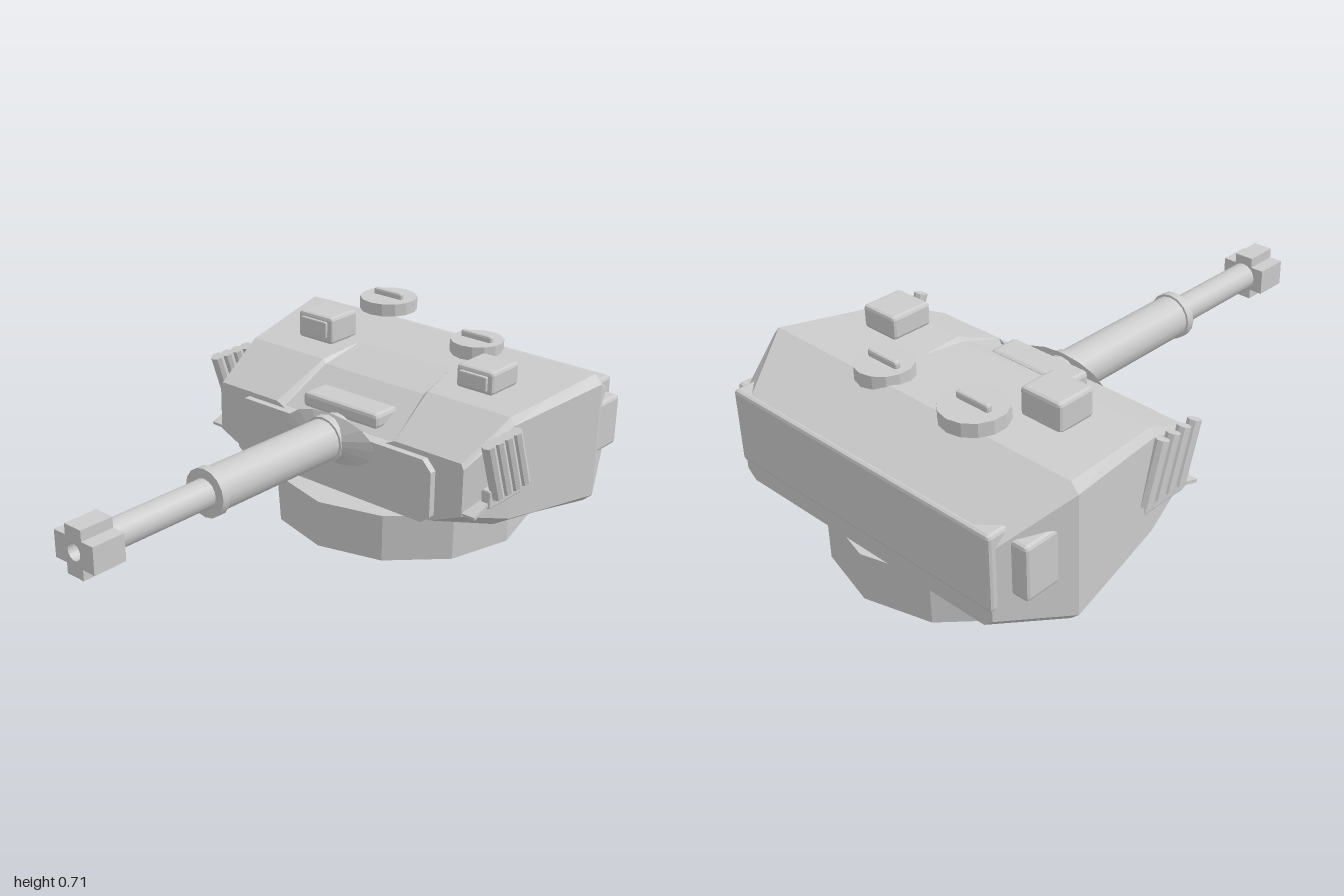
import * as THREE from 'three';
import { RoundedBoxGeometry } from 'three/addons/geometries/RoundedBoxGeometry.js';

const flat = new THREE.MeshStandardMaterial({ color: 0xcccccc, flatShading: true });
const smooth = new THREE.MeshStandardMaterial({ color: 0xcccccc });

function add(parent, name, geometry, x = 0, y = 0, z = 0, material = flat) {
  const mesh = new THREE.Mesh(geometry, material);
  mesh.name = name;
  mesh.position.set(x, y, z);
  parent.add(mesh);
  return mesh;
}

// Box with bevelled edges, given by its min and max corners
function block(parent, name, [x0, y0, z0], [x1, y1, z1], bevel = 0.012) {
  const g = new RoundedBoxGeometry(x1 - x0, y1 - y0, z1 - z0, 1, bevel);
  return add(parent, name, g, (x0 + x1) / 2, (y0 + y1) / 2, (z0 + z1) / 2);
}

// Cylinder lying along z
function tube(parent, name, r, z0, z1, y, sides = 16) {
  const g = new THREE.CylinderGeometry(r, r, z1 - z0, sides).rotateX(Math.PI / 2);
  return add(parent, name, g, 0, y, (z0 + z1) / 2, smooth);
}

// Symmetric shape from the points of its +x half, bottom to top
function mirroredShape(half) {
  const other = half.map(([x, y]) => [-x, y]).reverse();
  return new THREE.Shape([...half, ...other].map(([x, y]) => new THREE.Vector2(x, y)));
}

// Turret shell lofted front to back through mirrored cross-sections
function shellGeometry() {
  // z, bottom half-width, bottom y, side half-width, side low y, side high y,
  // roof half-width, roof y, inner edge of cheek, depth of centre recess
  const sections = [
    [-0.14, 0.42, 0.21, 0.545, 0.265, 0.43, 0.535, 0.45, 0.265, 0.03],
    [-0.35, 0.53, 0.155, 0.59, 0.195, 0.53, 0.572, 0.556, 0.235, 0.014],
    [-0.53, 0.57, 0.145, 0.622, 0.178, 0.55, 0.6, 0.578, 0.215, 0],
    [-0.757, 0.63, 0.13, 0.663, 0.16, 0.575, 0.635, 0.607, 0.215, 0],
    [-0.99, 0.52, 0.19, 0.555, 0.22, 0.46, 0.485, 0.512, 0.215, 0],
  ];
  const rings = sections.map(([z, bw, by, w, lo, hi, tw, ty, inner, d]) => {
    const half = [[bw, by], [w, lo], [w, hi], [tw, ty], [inner, ty], [inner - 0.015, ty - d]];
    const other = half.map(([x, y]) => [-x, y]).reverse();
    return [...half, ...other].map(([x, y]) => [x, y, z]);
  });
  const pos = [];
  const tri = (...corners) => corners.forEach((c) => pos.push(...c));
  const n = rings[0].length;
  for (let j = 0; j < n; j++) {
    const k = (j + 1) % n;
    for (let i = 0; i < rings.length - 1; i++) {
      const [f, b] = [rings[i], rings[i + 1]];
      tri(f[j], b[j], b[k]);
      tri(f[j], b[k], f[k]);
    }
    const [front, back] = [rings[0], rings[rings.length - 1]];
    tri([0, 0.33, front[0][2]], front[j], front[k]);
    tri([0, 0.35, back[0][2]], back[k], back[j]);
  }
  const g = new THREE.BufferGeometry();
  g.setAttribute('position', new THREE.Float32BufferAttribute(pos, 3));
  g.computeVertexNormals();
  return g;
}

function hatch(parent, name, x, y, z, r, h) {
  const group = new THREE.Group();
  group.name = name;
  group.position.set(x, y, z);
  add(group, name + 'Lid', new THREE.CylinderGeometry(r, r, h, 14), 0, h / 2, 0);
  block(group, name + 'Handle', [-0.065, h - 0.005, -0.012], [0.065, h + 0.023, 0.012], 0.008);
  parent.add(group);
}

// Bank of four tilted launcher tubes with its bracket, on one side
function launchers(parent, side) {
  const group = new THREE.Group();
  group.name = side > 0 ? 'leftLaunchers' : 'rightLaunchers';
  for (let i = 0; i < 4; i++) {
    const tubeMesh = add(group, 'launcherTube', new THREE.CylinderGeometry(0.023, 0.023, 0.215, 8),
      side * 0.605, 0.42, -0.217 - i * 0.05);
    tubeMesh.rotation.x = 0.33;
  }
  block(group, 'launcherBracket', [side * 0.583 - 0.018, 0.28, -0.4], [side * 0.583 + 0.018, 0.345, -0.215], 0.006);
  // Sloping shelf below the tubes
  const shelf = add(group, 'launcherShelf', new THREE.BoxGeometry(0.05, 0.012, 0.32), side * 0.57, 0.322, -0.295);
  shelf.rotation.x = 0.32;
  parent.add(group);
}

export function createModel() {
  const model = new THREE.Group();
  model.name = 'gunTurret';

  // Turret ring and shell
  add(model, 'turretRing', new THREE.CylinderGeometry(0.47, 0.47, 0.17, 12), 0, 0.085, -0.53);
  add(model, 'turretShell', shellGeometry());

  // Front plate with clipped corners
  const plate = mirroredShape([[0.4, 0.207], [0.435, 0.235], [0.435, 0.395], [0.4, 0.432]]);
  add(model, 'frontPlate', new THREE.ExtrudeGeometry(plate, { depth: 0.05, bevelEnabled: false }), 0, 0, -0.165);

  // Gun barrel
  const gy = 0.396;
  const collar = new THREE.CylinderGeometry(0.09, 0.2, 0.03, 16).rotateX(Math.PI / 2).scale(1, 0.45, 1);
  add(model, 'mantletCollar', collar, 0, gy, -0.1);
  tube(model, 'barrelSleeve', 0.076, -0.16, 0.47, gy);
  tube(model, 'rearBarrelBand', 0.084, -0.115, -0.08, gy);
  tube(model, 'frontBarrelBand', 0.084, 0.447, 0.477, gy);
  tube(model, 'barrel', 0.05, 0.45, 0.89, gy);

  // Cross-shaped muzzle brake with a bore
  const cross = mirroredShape([[0.036, -0.082], [0.036, -0.046], [0.086, -0.046],
    [0.086, 0.046], [0.036, 0.046], [0.036, 0.082]]);
  cross.holes.push(new THREE.Path().absarc(0, 0, 0.028, 0, Math.PI * 2, true));
  add(model, 'muzzleBrake', new THREE.ExtrudeGeometry(cross,
    { depth: 0.12, bevelEnabled: false, curveSegments: 12 }), 0, gy, 0.88);

  // Roof fittings
  block(model, 'gunSight', [-0.165, 0.45, -0.28], [0.165, 0.505, -0.165], 0.014);
  block(model, 'rightPeriscope', [-0.43, 0.575, -0.58], [-0.27, 0.677, -0.435]);
  block(model, 'rightPeriscopeWindow', [-0.41, 0.598, -0.445], [-0.29, 0.66, -0.425], 0.004);
  block(model, 'leftPeriscope', [0.32, 0.585, -0.545], [0.467, 0.667, -0.39]);
  block(model, 'leftPeriscopeWindow', [0.338, 0.6, -0.4], [0.449, 0.652, -0.378], 0.004);
  hatch(model, 'rightHatch', -0.26, 0.645, -0.75, 0.107, 0.046);
  hatch(model, 'leftHatch', 0.18, 0.588, -0.705, 0.096, 0.05);

  // Rear stowage block, side boxes and launchers
  block(model, 'rearBlock', [-0.562, 0.255, -1], [0.562, 0.515, -0.885]);
  for (const side of [1, -1]) {
    block(model, side > 0 ? 'leftRearBox' : 'rightRearBox',
      [side * 0.59 - 0.047, 0.295, -0.935], [side * 0.59 + 0.047, 0.48, -0.79]);
    launchers(model, side);
  }
  return model;
}
